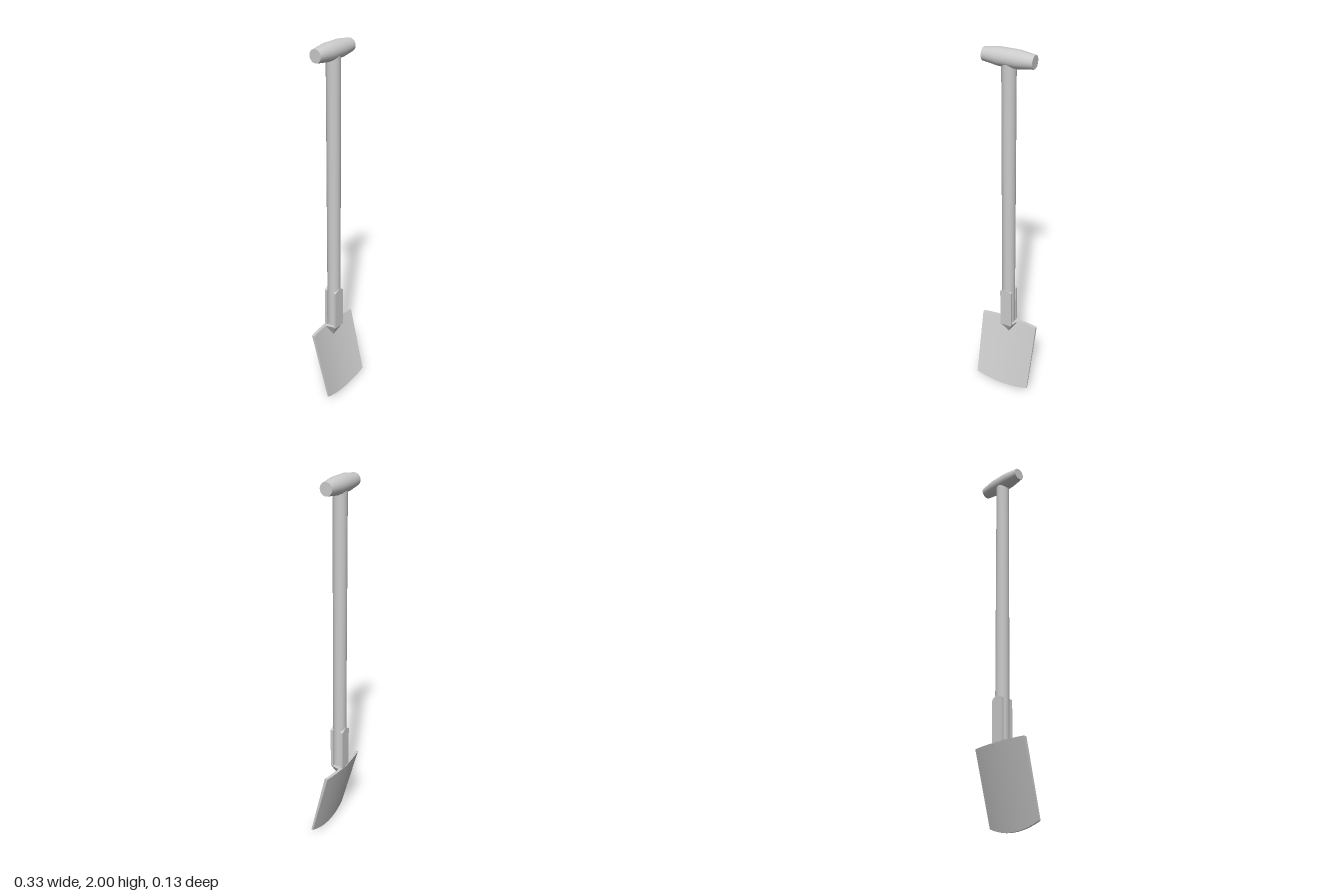
import * as THREE from 'three';

const SHAFT_Z = -0.022, SHAFT_R = 0.036, BLADE_TOP = 0.415;

// Front surface of the slanted, dished blade; u runs -1..1 across the width
const bladeFrontZ = (y, u) => -0.044 + (BLADE_TOP - y) * 0.25 + 0.016 * u * u;

function bladeGeometry() {
  const geo = new THREE.BoxGeometry(2, 1, 1, 12, 6, 1);
  const p = geo.attributes.position;
  for (let i = 0; i < p.count; i++) {
    const u = p.getX(i), t = p.getY(i) + 0.5, back = p.getZ(i) < 0;
    const y = THREE.MathUtils.lerp(0.035 * u * u, BLADE_TOP, t);
    const thickness = THREE.MathUtils.lerp(0.01, 0.017, t);
    p.setXYZ(i, u * (0.161 + 0.005 * t), y, bladeFrontZ(y, u) - (back ? thickness : 0));
  }
  geo.computeVertexNormals();
  return geo;
}

// Pointed socket joining the front strap to the blade
function socketGeometry() {
  const a = [-0.05, BLADE_TOP, -0.046], b = [0.05, BLADE_TOP, -0.046];
  const c = [0.033, BLADE_TOP, 0.015], d = [-0.033, BLADE_TOP, 0.015];
  const tip = [0, 0.337, -0.026];
  const faces = [d, tip, c, c, tip, b, b, tip, a, a, tip, d, a, d, c, a, c, b];
  const geo = new THREE.BufferGeometry();
  geo.setAttribute('position', new THREE.Float32BufferAttribute(faces.flat(), 3));
  geo.computeVertexNormals();
  return geo;
}

// Flat strap with a peaked top
function strapGeometry() {
  const s = new THREE.Shape();
  s.moveTo(-0.033, 0.41);
  s.lineTo(0.033, 0.41);
  s.lineTo(0.033, 0.64);
  s.lineTo(0, 0.66);
  s.lineTo(-0.033, 0.64);
  s.closePath();
  return new THREE.ExtrudeGeometry(s, { depth: 0.015, bevelEnabled: false });
}

export function createModel() {
  const group = new THREE.Group();
  const material = new THREE.MeshStandardMaterial({ color: 0xcccccc });
  const add = (name, geo, x = 0, y = 0, z = 0) => {
    const mesh = new THREE.Mesh(geo, material);
    mesh.name = name;
    mesh.position.set(x, y, z);
    group.add(mesh);
    return mesh;
  };

  // Long shaft
  const bottom = 0.425, top = 1.95;
  add('shaft', new THREE.CylinderGeometry(SHAFT_R, SHAFT_R, top - bottom, 20),
    0, (top + bottom) / 2, SHAFT_Z);

  // Barrel-shaped cross grip with flat ends
  const body = [[0.033, -0.13], [0.044, -0.05], [0.044, 0.05], [0.033, 0.13]]
    .map(([r, y]) => new THREE.Vector2(r, y));
  const grip = add('grip', new THREE.LatheGeometry(body, 20), 0, 1.956, -0.024);
  grip.rotation.z = Math.PI / 2;
  for (const side of [-1, 1]) {
    const cap = add('gripEnd', new THREE.CircleGeometry(0.033, 20), side * 0.13, 1.956, -0.024);
    cap.rotation.y = side * Math.PI / 2;
  }

  // Straps on both sides of the shaft, socket and blade
  add('frontStrap', strapGeometry(), 0, 0, 0);
  add('backStrap', strapGeometry(), 0, 0, -0.06);
  add('socket', socketGeometry());
  add('blade', bladeGeometry());
  return group;
}
